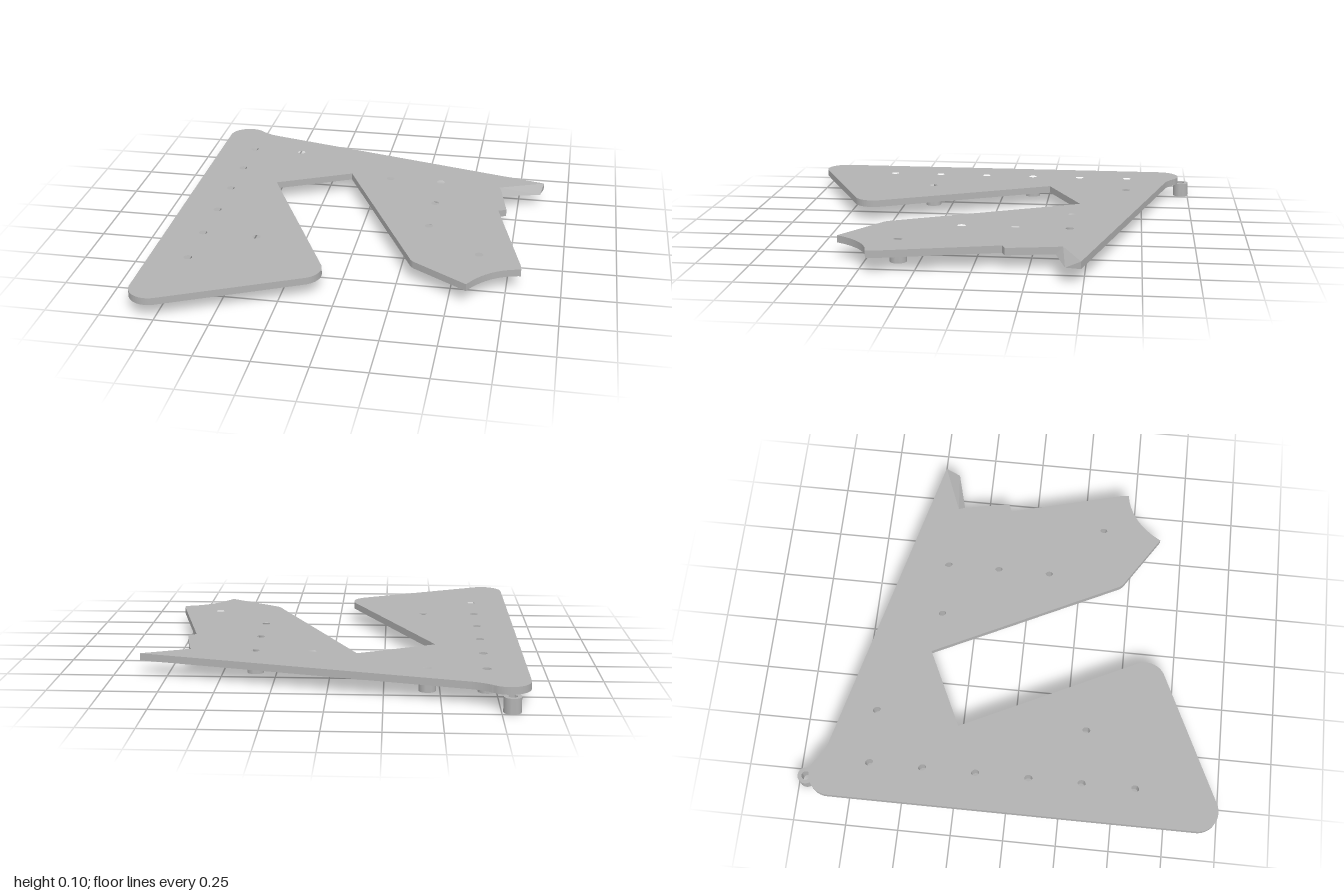
import * as THREE from 'three';
import { toCreasedNormals } from 'three/addons/utils/BufferGeometryUtils.js';

const TOP = 0.104, BOTTOM = 0.07, HOLE = 0.02, POST = 0.039;

// Mounting points as [x, z]
const mounts = [
  ...[-0.67, -0.415, -0.161, 0.093, 0.347, 0.601].map((z) => [-0.706, z]),
  [-0.444, -0.67], [-0.444, 0.347],
  [0.085, -0.415], [0.349, -0.415], [0.349, -0.161], [0.349, 0.093],
  [0.614, 0.347],
];
const cornerMount = [-0.796, -0.963];

// Plate outline, drawn in x and z
function plateShape() {
  const s = new THREE.Shape();
  const rad = THREE.MathUtils.degToRad;
  s.moveTo(-0.886, -0.845);
  s.absarc(-0.786, 0.896, 0.1, Math.PI, rad(65), true);
  s.absarc(-0.177, 0.61, 0.1, rad(65), rad(-25), true);
  s.lineTo(-0.489, -0.267);
  s.lineTo(-0.124, -0.442);
  s.lineTo(0.302, 0.437);
  s.quadraticCurveTo(0.311, 0.458, 0.328, 0.47);
  s.lineTo(0.582, 0.635);
  s.quadraticCurveTo(0.665, 0.48, 0.815, 0.458);
  s.lineTo(0.812, 0.425);
  s.lineTo(0.667, -0.13);
  s.lineTo(0.706, -0.146);
  s.lineTo(0.664, -0.368);
  s.lineTo(0.653, -0.4);
  s.lineTo(0.876, -0.489);
  s.lineTo(-0.627, -0.872);
  s.quadraticCurveTo(-0.675, -0.885, -0.717, -0.918);
  s.absarc(-0.786, -0.845, 0.1, rad(-47), -Math.PI, true);
  for (const [x, z] of mounts) {
    s.holes.push(new THREE.Path().absarc(x, z, HOLE, 0, Math.PI * 2, true));
  }
  return s;
}

// Sloping edge under the pointed tip
function tipWedge() {
  const t1 = [0.653, TOP, -0.4], t2 = [0.876, TOP, -0.489];
  const u1 = [0.653, BOTTOM, -0.4], u2 = [0.876, BOTTOM, -0.489];
  const b1 = [0.664, BOTTOM, -0.368], b2 = [0.86, BOTTOM, -0.42];
  const faces = [
    t1, b1, b2, t1, b2, t2, // slope
    u1, u2, b2, u1, b2, b1, // underside
    t2, b2, u2, t1, u1, b1, // ends
  ];
  const g = new THREE.BufferGeometry();
  g.setAttribute('position', new THREE.Float32BufferAttribute(faces.flat(), 3));
  g.computeVertexNormals();
  return g;
}

// Hollow spacer post, closed ring profile
function postGeometry() {
  const profile = [[HOLE, 0], [POST, 0], [POST, BOTTOM], [HOLE, BOTTOM], [HOLE, 0]];
  const g = new THREE.LatheGeometry(profile.map(([r, y]) => new THREE.Vector2(r, y)), 32);
  return toCreasedNormals(g, 0.6);
}

export function createModel() {
  const model = new THREE.Group();
  model.name = 'mountingPlate';
  const grey = new THREE.MeshStandardMaterial({ color: 0xb2b2b2 });
  grey.name = 'grey';

  const add = (name, geometry, x = 0, z = 0) => {
    const mesh = new THREE.Mesh(geometry, grey);
    mesh.name = name;
    mesh.position.set(x, 0, z);
    model.add(mesh);
  };

  const plate = new THREE.ExtrudeGeometry(plateShape(), {
    depth: TOP - BOTTOM, bevelEnabled: false, curveSegments: 20,
  });
  plate.rotateX(Math.PI / 2).translate(0, TOP, 0);
  add('plate', toCreasedNormals(plate, 0.5));
  add('tipWedge', tipWedge());

  const post = postGeometry();
  mounts.forEach(([x, z], i) => add(`spacerPost${i + 1}`, post, x, z));
  add('cornerPost', post, ...cornerMount);
  return model;
}
